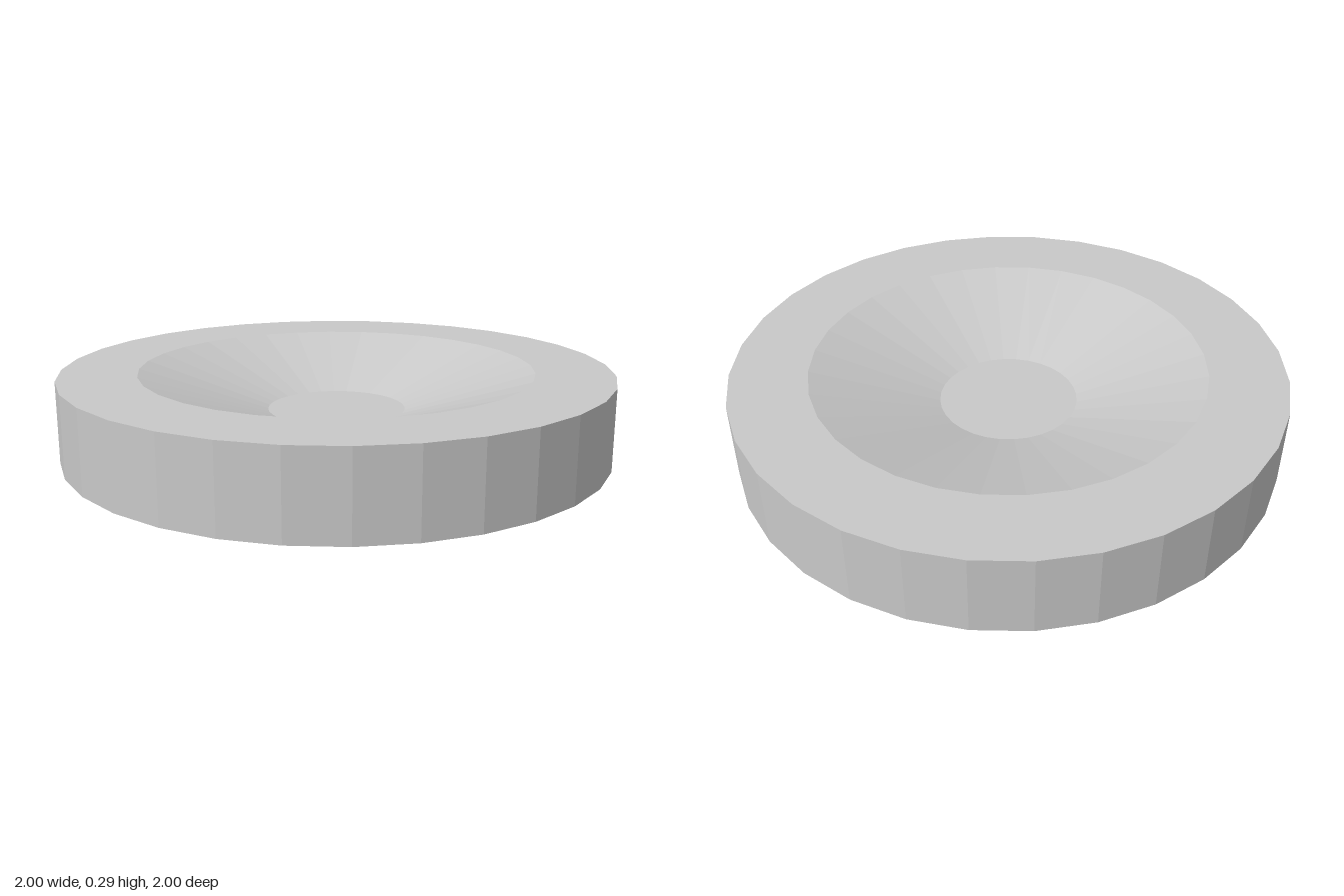
import * as THREE from 'three';

const SIDES = 32;

export function createModel() {
  const model = new THREE.Group();
  model.name = 'dish';

  const grey = new THREE.MeshStandardMaterial({ color: 0xc8c8c8, flatShading: true });
  grey.name = 'light grey';

  const addLathe = (name, profile) => {
    const points = profile.map(([r, y]) => new THREE.Vector2(r, y));
    const mesh = new THREE.Mesh(new THREE.LatheGeometry(points, SIDES), grey);
    mesh.name = name;
    model.add(mesh);
  };

  // Solid disc: underside, outer wall and flat rim
  addLathe('body', [[0, 0], [1, 0], [1, 0.293], [0.72, 0.293]]);

  // Conical recess with a small flat floor
  addLathe('recess', [[0.72, 0.293], [0.253, 0.14], [0, 0.14]]);

  return model;
}
